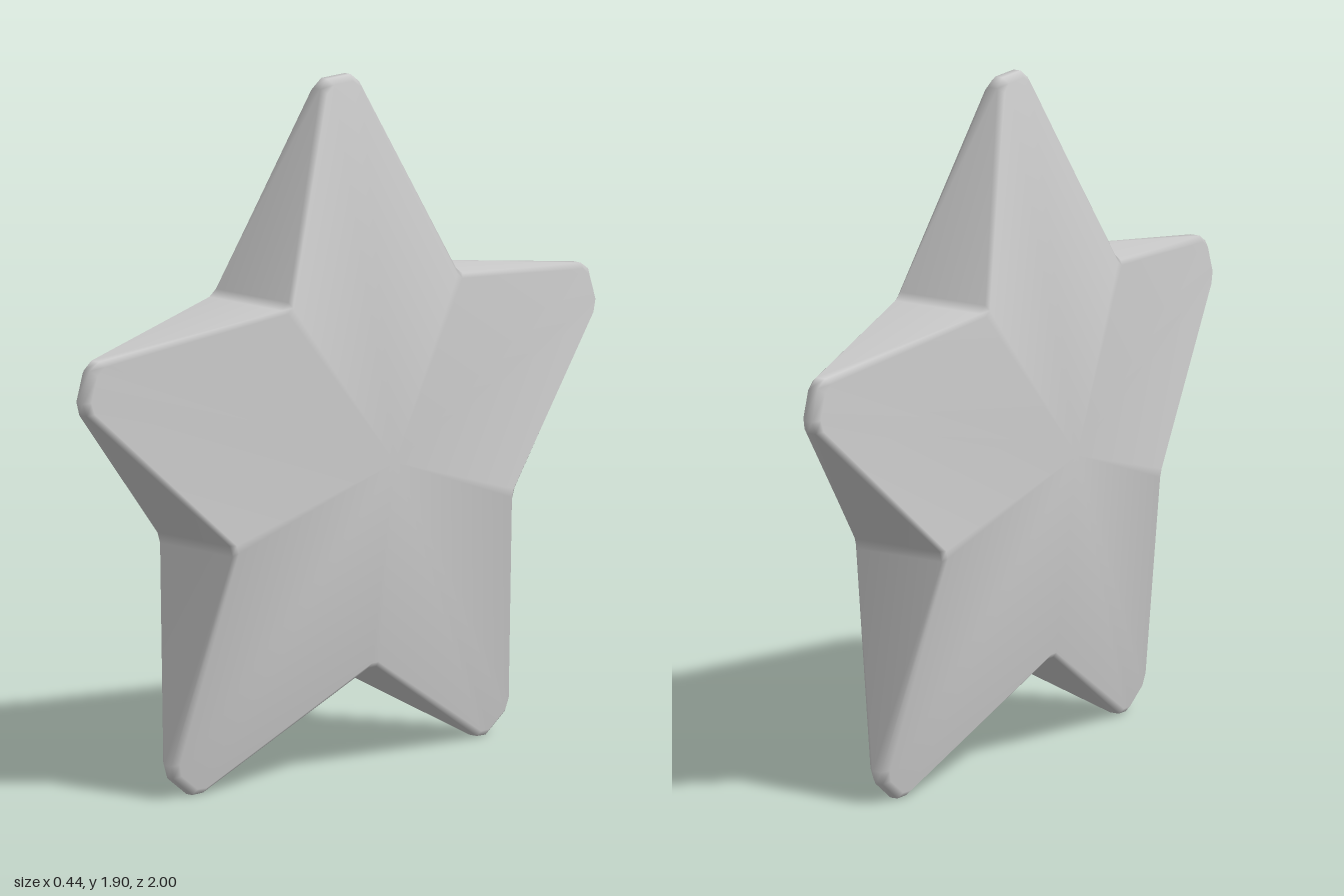
import * as THREE from 'three';

const CENTRE_Y = 0.868;

// One arm sector of the outline: [radius, sideways offset, half thickness, sector turn in degrees]
const rim = [
  [1.012, -0.076, 0.014, 0], [1.036, -0.046, 0.011, 0],
  [1.036, 0.046, 0.011, 0], [1.012, 0.076, 0.014, 0],
  [0.578, -0.016, 0.136, 36], [0.578, 0.016, 0.136, 36],
];
// Same points, pulled in to where the soft edge meets the broad face
const face = [
  [1.0, -0.066, 0.031, 0], [1.02, -0.038, 0.028, 0],
  [1.02, 0.038, 0.028, 0], [1.0, 0.066, 0.031, 0],
  [0.563, -0.012, 0.148, 36], [0.563, 0.012, 0.148, 36],
];

// Repeat a sector five times around the x axis
function ring(sector, side) {
  const points = [];
  for (let arm = 0; arm < 5; arm++) {
    for (const [r, across, x, turn] of sector) {
      const a = THREE.MathUtils.degToRad(arm * 72 + turn);
      points.push([
        side * x,
        CENTRE_Y + r * Math.cos(a) - across * Math.sin(a),
        r * Math.sin(a) + across * Math.cos(a),
      ]);
    }
  }
  return points;
}

function starGeometry() {
  const rings = [ring(face, 1), ring(rim, 1), ring(rim, -1), ring(face, -1)];
  const n = rings[0].length;
  const points = [...rings.flat(), [0.222, CENTRE_Y, 0], [-0.222, CENTRE_Y, 0]];
  const index = [];
  for (let i = 0; i < n; i++) {
    const k = (i + 1) % n;
    // Soft edge, wall, soft edge
    for (let j = 0; j < 3; j++) {
      const a = j * n + i, b = a + n, c = (j + 1) * n + k, d = j * n + k;
      index.push(a, b, c, a, c, d);
    }
    // Broad domed faces
    index.push(4 * n, i, k, 4 * n + 1, 3 * n + k, 3 * n + i);
  }
  const geometry = new THREE.BufferGeometry();
  geometry.setAttribute('position', new THREE.Float32BufferAttribute(points.flat(), 3));
  geometry.setIndex(index);
  geometry.computeVertexNormals();
  return geometry;
}

export function createModel() {
  const group = new THREE.Group();
  group.name = 'star';
  const body = new THREE.Mesh(starGeometry(), new THREE.MeshStandardMaterial({ color: 0xcccccc }));
  body.name = 'starBody';
  group.add(body);
  return group;
}
